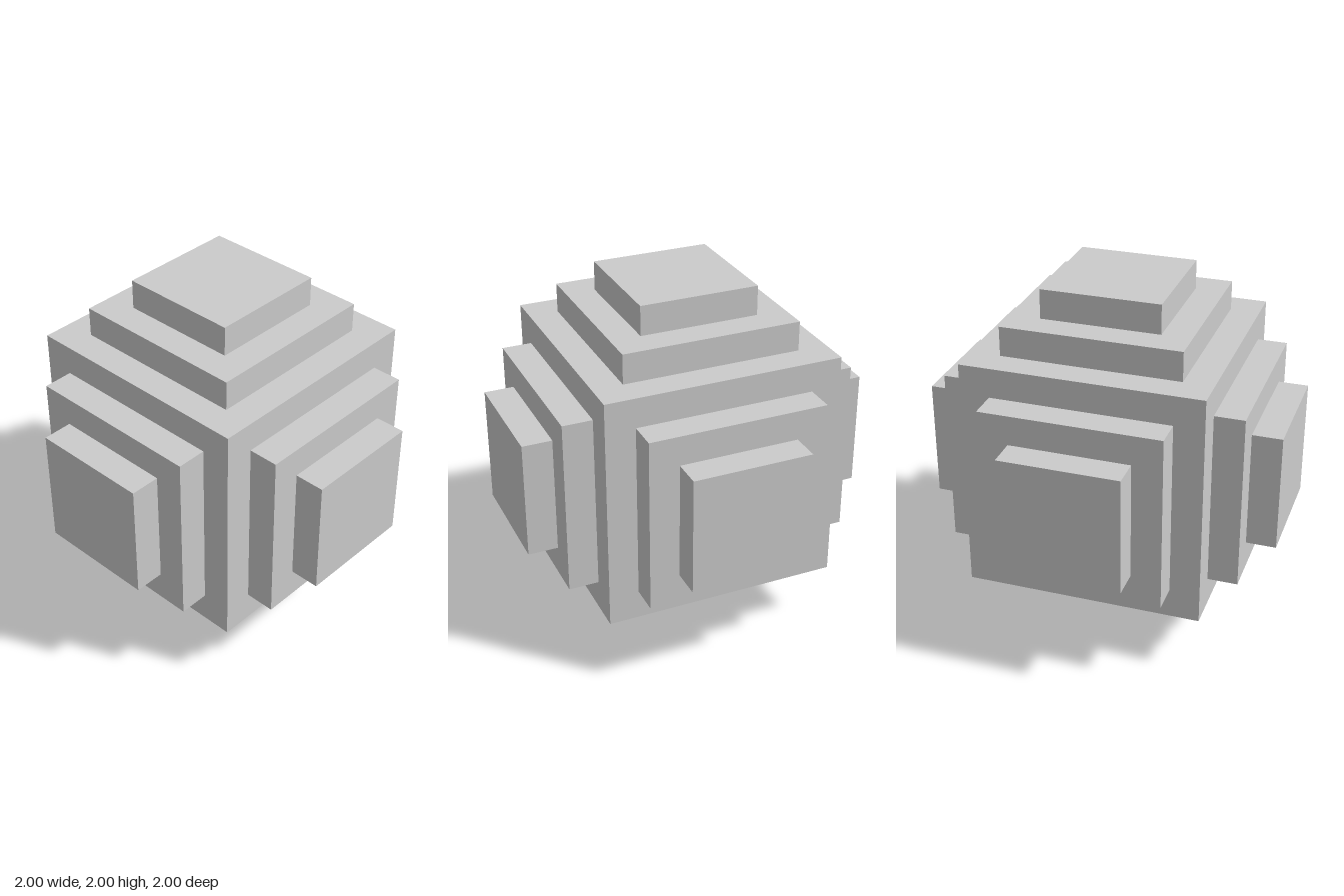
import * as THREE from 'three';

const U = 1 / 6; // one block unit
const material = new THREE.MeshStandardMaterial({ color: 0xcccccc, flatShading: true });

function addBox(parent, name, size, position) {
  const mesh = new THREE.Mesh(new THREE.BoxGeometry(...size.map(v => v * U)), material);
  mesh.name = name;
  mesh.position.set(...position.map(v => v * U));
  parent.add(mesh);
}

// Two stacked square plates, rising along local +y from the core's face
function steppedCap(name) {
  const cap = new THREE.Group();
  cap.name = name;
  addBox(cap, 'wideStep', [6, 1, 6], [0, 4.5, 0]);
  addBox(cap, 'narrowStep', [4, 1, 4], [0, 5.5, 0]);
  return cap;
}

export function createModel() {
  const model = new THREE.Group();
  model.name = 'steppedBlockCrown';

  // Central cube and the stem it stands on
  addBox(model, 'core', [8, 8, 8], [0, 6, 0]);
  addBox(model, 'stem', [2, 2, 2], [0, 1, 0]);

  // Stepped caps on every face except the bottom
  const q = Math.PI / 2;
  const caps = [
    ['topCap', 0, 0],
    ['frontCap', q, 0],
    ['backCap', -q, 0],
    ['leftCap', 0, -q],
    ['rightCap', 0, q],
  ];
  for (const [name, rx, rz] of caps) {
    const cap = steppedCap(name);
    cap.position.y = 6 * U;
    cap.rotation.set(rx, 0, rz);
    model.add(cap);
  }
  return model;
}
